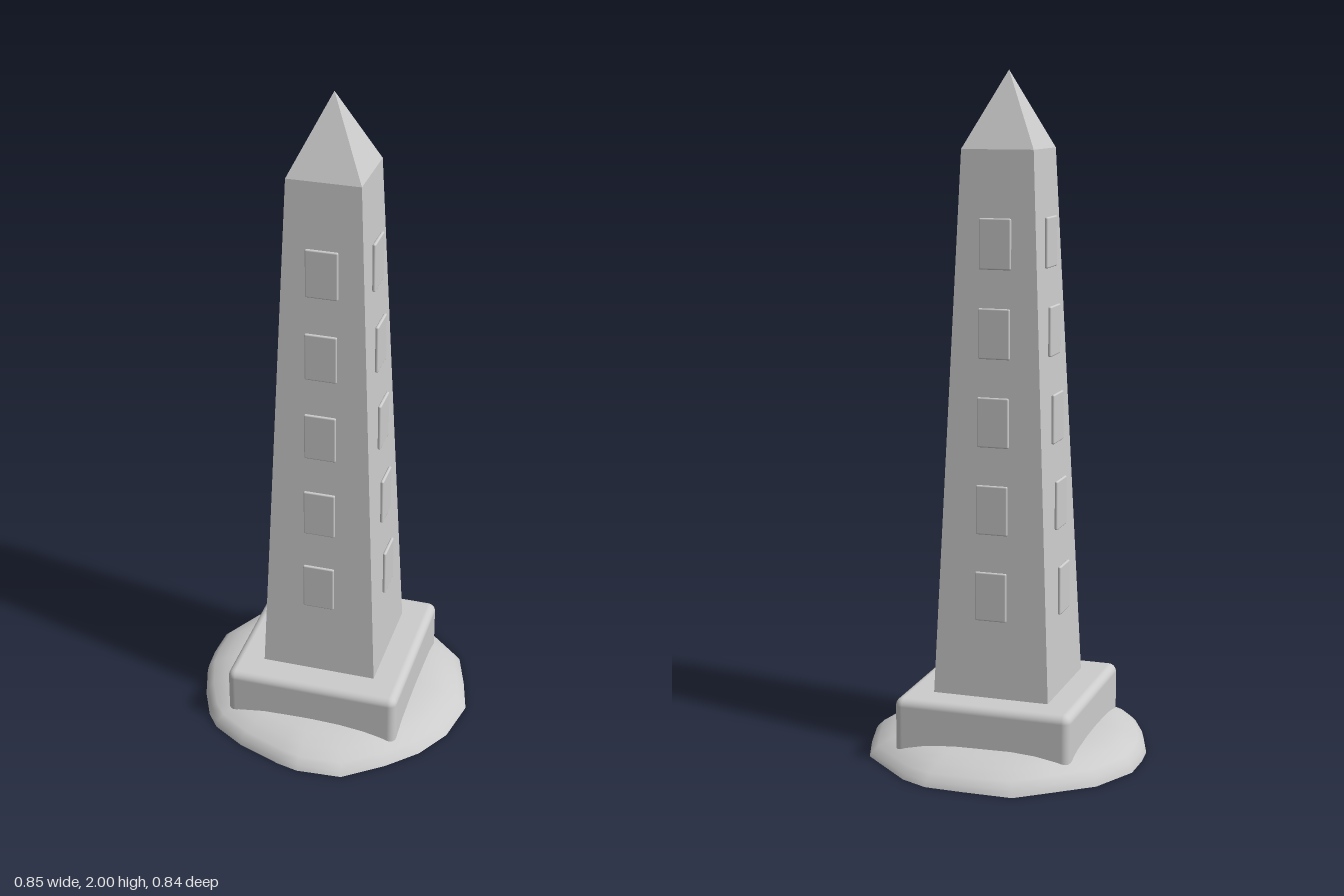
import * as THREE from 'three';
import { RoundedBoxGeometry } from 'three/addons/geometries/RoundedBoxGeometry.js';

const stone = new THREE.MeshStandardMaterial({ color: 0xcccccc });
stone.name = 'stone grey';
const CENTRE = -0.005;

function addMesh(parent, name, geometry, x = 0, y = 0, z = 0) {
  const mesh = new THREE.Mesh(geometry, stone);
  mesh.name = name;
  mesh.position.set(x, y, z);
  parent.add(mesh);
  return mesh;
}

// Square tapering block with crisp faces, standing on y = 0
function squareTaper(halfTop, halfBottom, height, openEnded) {
  const g = new THREE.CylinderGeometry(halfTop * Math.SQRT2, halfBottom * Math.SQRT2, height, 4, 1, openEnded);
  g.rotateY(Math.PI / 4);
  g.translate(0, height / 2, 0);
  const flat = g.toNonIndexed();
  flat.computeVertexNormals();
  return flat;
}

// Irregular outline of the mound (x, z)
const outline = [
  [-0.15, -0.42], [0.0, -0.422], [0.11, -0.42], [0.19, -0.385], [0.27, -0.315], [0.35, -0.245],
  [0.39, -0.13], [0.423, -0.01], [0.395, 0.135], [0.335, 0.24], [0.25, 0.325], [0.135, 0.41],
  [0, 0.42], [-0.065, 0.405], [-0.2, 0.355], [-0.3, 0.295], [-0.34, 0.245], [-0.385, 0.15],
  [-0.42, 0.04], [-0.425, -0.03], [-0.42, -0.13], [-0.35, -0.265], [-0.25, -0.343],
];

// Low dome made of shrinking copies of the outline
function moundGeometry() {
  const rings = [[1, 0.003], [0.985, 0.02], [0.94, 0.038], [0.85, 0.057], [0.75, 0.07], [0.6, 0.079], [0.3, 0.082]];
  const n = outline.length;
  const positions = [];
  const index = [];
  rings.forEach(([scale, y], r) => {
    outline.forEach(([x, z], i) => {
      const lean = r === 0 ? 0 : -0.02 * x * scale; // slightly higher on one side
      positions.push(x * scale, y + lean, z * scale);
      if (r === rings.length - 1) return;
      const a = r * n + i, b = r * n + (i + 1) % n;
      index.push(a, a + n, b, b, a + n, b + n);
    });
  });
  const g = new THREE.BufferGeometry();
  g.setAttribute('position', new THREE.Float32BufferAttribute(positions, 3));
  g.setIndex(index);
  g.computeVertexNormals();
  return g;
}

export function createModel() {
  const model = new THREE.Group();
  model.name = 'obelisk';

  // Mound and its flat underside
  addMesh(model, 'mound', moundGeometry());
  const underside = new THREE.ShapeGeometry(new THREE.Shape(outline.map(([x, z]) => new THREE.Vector2(x, z))));
  underside.rotateX(Math.PI / 2);
  addMesh(model, 'moundUnderside', underside, 0, 0.002, 0);

  // Rounded plinth
  addMesh(model, 'plinth', new RoundedBoxGeometry(0.534, 0.19, 0.534, 3, 0.025), CENTRE, 0.105, -0.004);

  // Tapering shaft and pointed cap
  const baseY = 0.19, capY = 1.78, baseHalf = 0.175, capHalf = 0.107;
  addMesh(model, 'shaft', squareTaper(capHalf, baseHalf, capY - baseY, true), CENTRE, baseY, CENTRE);
  addMesh(model, 'cap', squareTaper(0, capHalf, 2 - capY, true), CENTRE, capY, CENTRE);

  // Five raised panels on each of the four sides
  const panel = new RoundedBoxGeometry(0.095, 0.145, 0.01, 2, 0.0045);
  for (let side = 0; side < 4; side++) {
    const column = new THREE.Group();
    column.name = 'panelColumn' + (side + 1);
    column.position.set(CENTRE, 0, CENTRE);
    column.rotation.y = side * Math.PI / 2;
    for (let i = 0; i < 5; i++) {
      const y = 0.503 + i * 0.2535;
      const half = THREE.MathUtils.mapLinear(y, baseY, capY, baseHalf, capHalf);
      addMesh(column, 'panel', panel, 0, y, half + 0.008);
    }
    model.add(column);
  }
  return model;
}
